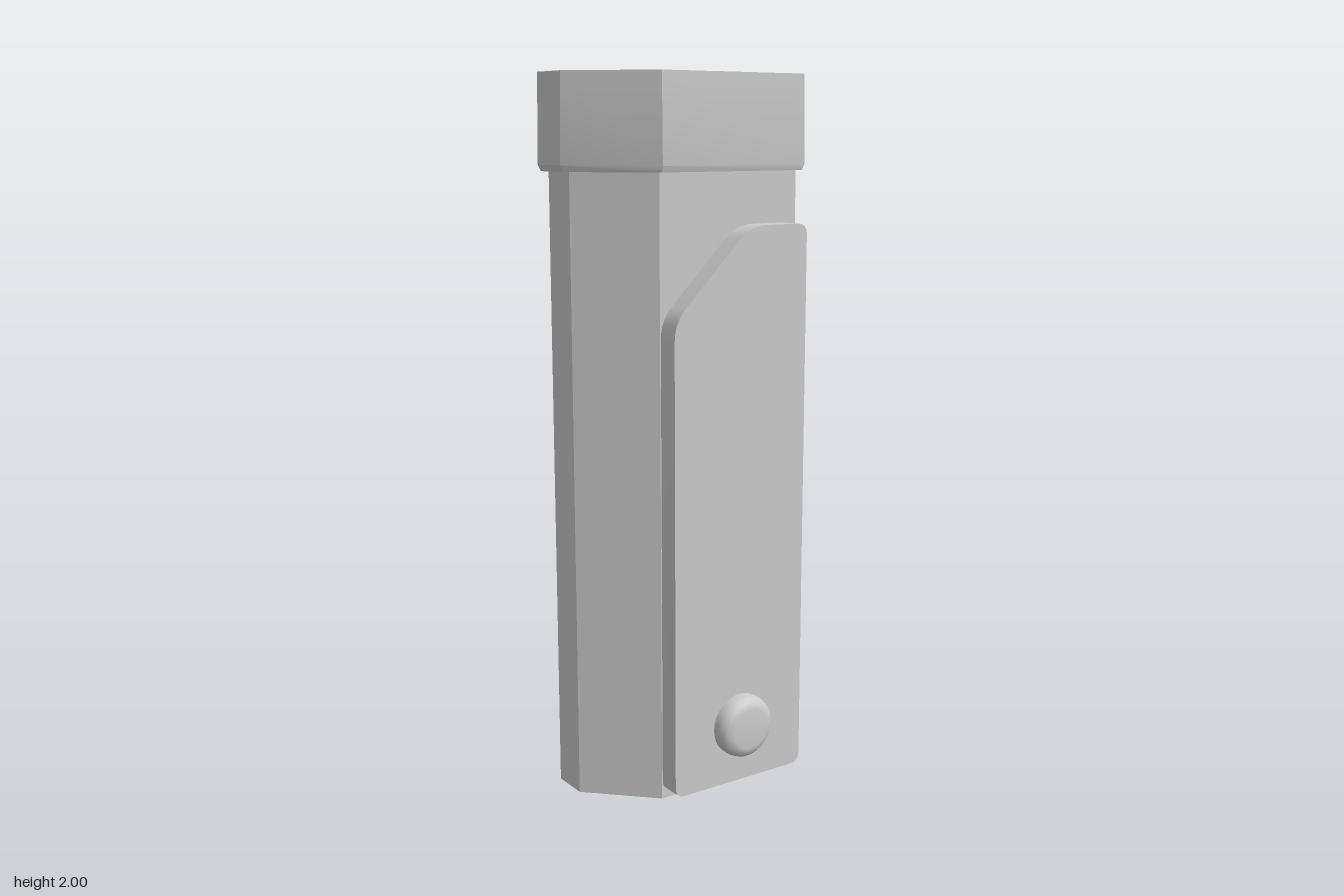
import * as THREE from 'three';
import { toCreasedNormals } from 'three/addons/utils/BufferGeometryUtils.js';

// plan outlines as [x, z], same corner order for body and cap
const BODY = [[-0.28, -0.255], [0.28, -0.255], [0.31, -0.225], [0.31, 0.053], [-0.14, 0.053], [-0.31, -0.117], [-0.31, -0.225]];
const CAP = [[-0.296, -0.28], [0.298, -0.28], [0.334, -0.24], [0.329, 0.068], [-0.142, 0.073], [-0.335, -0.118], [-0.335, -0.24]];

// outline part-way between the body (0) and the cap (1), at height y
const ring = (t, y) => BODY.map(([x, z], i) => [x + (CAP[i][0] - x) * t, y, z + (CAP[i][1] - z) * t]);

// skin a stack of rings, optionally closing the top
function loft(rings, closeTop) {
  const n = BODY.length, index = [];
  for (let r = 0; r < rings.length - 1; r++) {
    for (let i = 0; i < n; i++) {
      const a = r * n + i, b = r * n + (i + 1) % n;
      index.push(a, a + n, b + n, a, b + n, b);
    }
  }
  const top = (rings.length - 1) * n;
  if (closeTop) for (let i = 1; i < n - 1; i++) index.push(top, top + i + 1, top + i);
  const g = new THREE.BufferGeometry();
  g.setAttribute('position', new THREE.Float32BufferAttribute(rings.flat(2), 3));
  g.setIndex(index);
  return toCreasedNormals(g, 0.3);
}

// polygon with rounded corners, each point is [x, y, radius]
function roundedShape(pts) {
  const s = new THREE.Shape();
  pts.forEach(([x, y, r], i) => {
    const p = new THREE.Vector2(x, y);
    const toward = (q) => new THREE.Vector2(q[0], q[1]).sub(p).setLength(r).add(p);
    const a = toward(pts[(i + pts.length - 1) % pts.length]);
    const b = toward(pts[(i + 1) % pts.length]);
    if (i) s.lineTo(a.x, a.y); else s.moveTo(a.x, a.y);
    s.quadraticCurveTo(x, y, b.x, b.y);
  });
  s.closePath();
  return s;
}

export function createModel() {
  const group = new THREE.Group();
  const material = new THREE.MeshStandardMaterial({ color: 0xcccccc, side: THREE.DoubleSide });
  const add = (name, geometry) => {
    const mesh = new THREE.Mesh(geometry, material);
    mesh.name = name;
    group.add(mesh);
    return mesh;
  };

  // hollow body, open at the bottom
  add('body', loft([ring(0, 0), ring(0, 1.76)], false));

  // cap with a bevelled lower lip and a slight taper
  add('cap', loft([ring(0, 1.743), ring(0.7, 1.743), ring(1, 1.76), ring(0.85, 2)], true));

  // clip plate standing off the front
  const plate = new THREE.ExtrudeGeometry(roundedShape([
    [-0.213, 0.09, 0.03], [0.209, 0.09, 0.03], [0.209, 1.61, 0.03],
    [0.024, 1.61, 0.05], [-0.213, 1.376, 0.05],
  ]), { depth: 0.063, bevelEnabled: false, curveSegments: 6 });
  add('clipPlate', toCreasedNormals(plate, 0.5)).position.z = 0.167;

  // round button low on the plate
  const profile = [[0.087, 0], [0.087, 0.018], [0.083, 0.033], [0.073, 0.044], [0.055, 0.05], [0, 0.05]]
    .map(([r, h]) => new THREE.Vector2(r, h));
  const button = add('button', new THREE.LatheGeometry(profile, 32));
  button.rotation.x = Math.PI / 2;
  button.position.set(0, 0.255, 0.23);

  return group;
}
